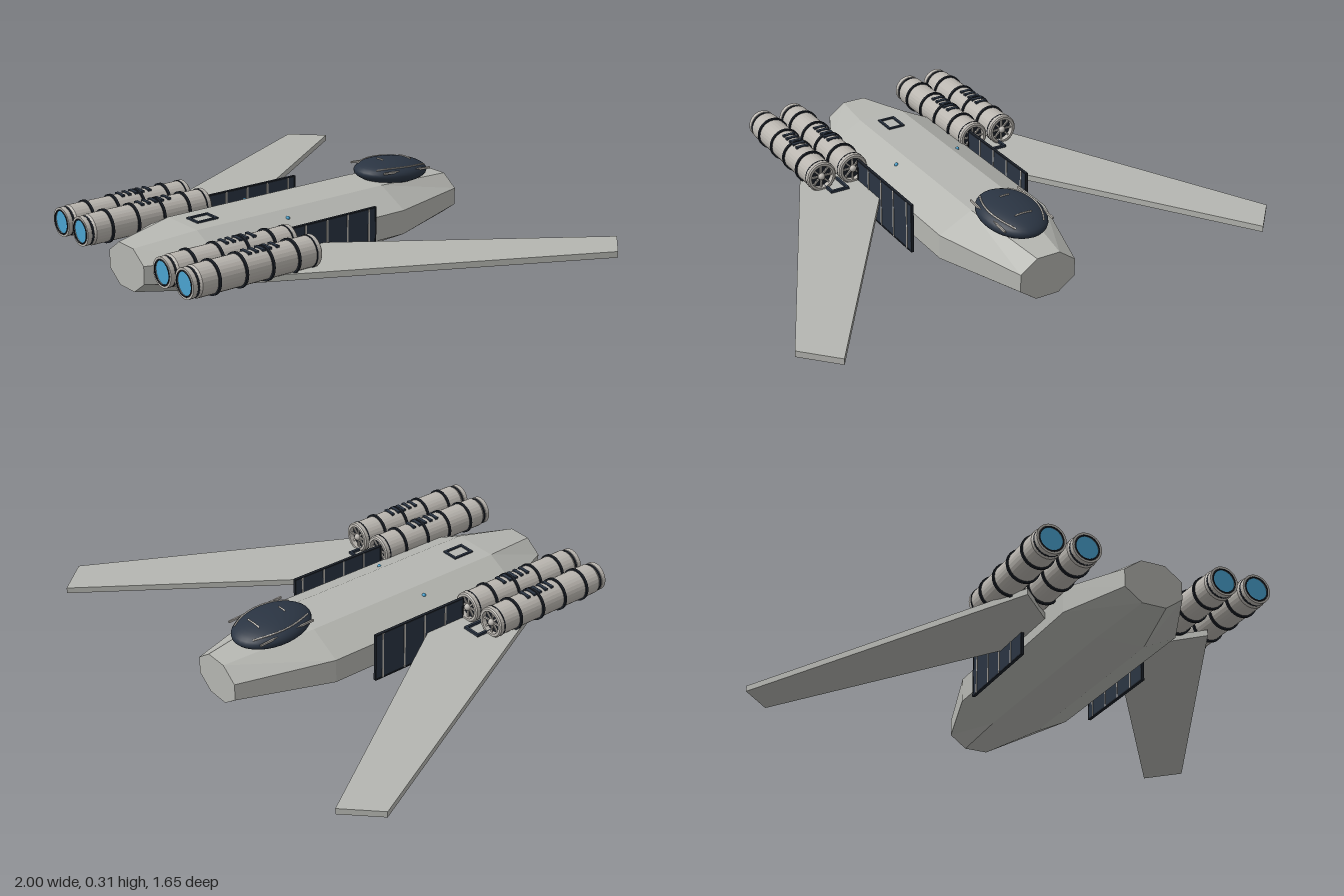
import * as THREE from 'three';

const mat = (name, color) => {
  const m = new THREE.MeshStandardMaterial({ color });
  m.name = name;
  return m;
};

export function createModel() {
  const root = new THREE.Group();
  root.name = 'spacecraft';
  const hullGrey = mat('hull grey', 0xb5b6b1);
  const metal = mat('engine metal', 0xb9b5af);
  const navy = mat('dark navy', 0x2a3442);
  const black = mat('trim black', 0x1c2129);
  const blue = mat('glow blue', 0x4aa3d0);

  const add = (parent, name, geo, material, x = 0, y = 0, z = 0) => {
    const m = new THREE.Mesh(geo, material);
    m.name = name;
    m.position.set(x, y, z);
    parent.add(m);
    return m;
  };
  const box = (w, h, d) => new THREE.BoxGeometry(w, h, d);
  const faceted = (geo) => {
    const g = geo.toNonIndexed();
    g.computeVertexNormals();
    return g;
  };

  // Octagonal hull lofted through four stations: z, half width, centre y, half height
  const stations = [
    [-0.705, 0.115, 0.12, 0.083], [-0.33, 0.23, 0.117, 0.117],
    [0.55, 0.23, 0.117, 0.117], [0.795, 0.115, 0.12, 0.083],
  ];
  const pos = [], idx = [];
  for (const [z, w, cy, h] of stations) {
    for (let j = 0; j < 8; j++) {
      const a = (j + 0.5) * Math.PI / 4, k = 1 / Math.cos(Math.PI / 8);
      pos.push(w * k * Math.cos(a), cy + h * k * Math.sin(a), z);
    }
  }
  for (let i = 0; i < 3; i++) {
    for (let j = 0; j < 8; j++) {
      const a = i * 8 + j, b = i * 8 + (j + 1) % 8;
      idx.push(a, b, b + 8, a, b + 8, a + 8);
    }
  }
  for (let j = 1; j < 7; j++) idx.push(0, j + 1, j, 24, 24 + j, 25 + j);
  const hull = new THREE.BufferGeometry();
  hull.setAttribute('position', new THREE.Float32BufferAttribute(pos, 3));
  hull.setIndex(idx);
  add(root, 'hull', faceted(hull), hullGrey);

  // Canopy with its frame bars
  const canopy = new THREE.Group();
  canopy.name = 'canopy';
  canopy.position.set(0, 0.255, -0.455);
  canopy.rotation.x = -0.07;
  root.add(canopy);
  const R = [0.122, 0.048, 0.163];
  add(canopy, 'canopyGlass', new THREE.SphereGeometry(1, 32, 20).scale(...R), navy);
  const onGlass = (x, z) => new THREE.Vector3(x,
    R[1] * Math.sqrt(Math.max(0, 1 - (x / R[0]) ** 2 - (z / R[2]) ** 2)) + 0.001, z);
  const bar = (name, pts) => add(canopy, name,
    new THREE.TubeGeometry(new THREE.CatmullRomCurve3(pts), 16, 0.0035, 6), metal);
  for (const s of [-1, 1]) {
    const pts = [];
    for (let i = 0; i <= 8; i++) {
      const z = -0.125 + i * 0.03125;
      pts.push(onGlass(s * (0.095 - 0.035 * Math.abs(z / 0.125) ** 2), z));
    }
    bar('canopySideFrame', pts);
    add(canopy, 'canopyRail', box(0.006, 0.008, 0.24), metal, s * 0.102, 0.017, 0);
  }
  bar('canopyCrossBar', [-0.036, 0, 0.036].map((x) => onGlass(x, -0.075)));
  bar('canopyCrossBar', [-0.02, 0, 0.02].map((x) => onGlass(x, 0.055)));

  // Hatch outline on the hull top
  for (const s of [-1, 1]) {
    add(root, 'hatchSide', box(0.01, 0.008, 0.09), navy, s * 0.031, 0.236, 0.46);
    add(root, 'hatchEnd', box(0.072, 0.008, 0.01), navy, 0, 0.236, 0.46 + s * 0.042);
  }

  // One engine: shell, bands, vents, glowing exit and fan
  const buildEngine = () => {
    const g = new THREE.Group();
    g.name = 'engine';
    const profile = [[0.046, 0.295], [0.046, 0.265], [0.056, 0.265], [0.061, 0.27], [0.061, 0.285],
      [0.059, 0.287], [0.06, 0.785], [0.053, 0.795], [0.053, 0.802], [0.057, 0.804],
      [0.057, 0.822], [0.046, 0.822], [0.046, 0.808]].map((p) => new THREE.Vector2(...p));
    add(g, 'engineShell', faceted(new THREE.LatheGeometry(profile, 28).rotateX(Math.PI / 2)), metal);
    const ring = (name, r, h, z) =>
      add(g, name, new THREE.CylinderGeometry(r, r, h, 28, 1).rotateX(Math.PI / 2), black, 0, 0, z);
    for (const z of [0.37, 0.485, 0.6, 0.715]) ring('engineBand', 0.066, 0.01, z);
    ring('frontSeam', 0.0615, 0.005, 0.288);
    ring('exitSeam', 0.056, 0.008, 0.798);
    add(g, 'exitRim', new THREE.TorusGeometry(0.046, 0.003, 6, 28), black, 0, 0, 0.822);
    add(g, 'exitGlow', new THREE.CircleGeometry(0.046, 28), blue, 0, 0, 0.816);
    for (const z of [0.44, 0.472, 0.5, 0.53, 0.56]) {
      add(g, 'engineVent', box(0.05, 0.012, 0.014), navy, 0, 0.056, z);
    }
    add(g, 'fanBack', new THREE.CircleGeometry(0.047, 28).rotateY(Math.PI), black, 0, 0, 0.286);
    for (let i = 0; i < 4; i++) {
      add(g, 'fanBlade', box(0.092, 0.007, 0.006), metal, 0, 0, 0.277).rotation.z = i * Math.PI / 4;
    }
    add(g, 'fanHub', new THREE.SphereGeometry(0.014, 14, 10), metal, 0, 0, 0.272);
    return g;
  };

  for (const s of [-1, 1]) {
    // Swept flat wing
    const outline = [[0.88, -0.83], [1, -0.705], [0.37, 0.55], [0.12, 0.29]];
    const shape = new THREE.Shape(outline.map(([x, z]) => new THREE.Vector2(s * x, z)));
    const wing = new THREE.ExtrudeGeometry(shape, { depth: 0.024, bevelEnabled: false });
    add(root, 'wing', wing.rotateX(Math.PI / 2), hullGrey, 0, 0.132, 0);

    // Paired engines
    for (const x of [0.275, 0.412]) {
      const e = buildEngine();
      e.position.set(s * x, 0.185, 0);
      root.add(e);
    }

    // Upright side panel with ribs
    add(root, 'sidePanel', box(0.009, 0.2, 0.43), navy, s * 0.253, 0.12, 0.05);
    for (const z of [0.175, 0.073, -0.025, -0.13]) {
      add(root, 'panelRib', box(0.013, 0.196, 0.007), metal, s * 0.253, 0.12, z);
    }
    for (const y of [0.022, 0.218]) {
      add(root, 'panelEdge', box(0.012, 0.006, 0.432), black, s * 0.253, y, 0.05);
    }
    for (const z of [-0.163, 0.263]) {
      add(root, 'panelEdge', box(0.012, 0.2, 0.006), black, s * 0.253, 0.12, z);
    }
    add(root, 'panelMount', box(0.03, 0.02, 0.3), hullGrey, s * 0.236, 0.117, 0.05);

    // Bracket on the wing ahead of the engines
    add(root, 'bracketBar', box(0.078, 0.01, 0.01), navy, s * 0.36, 0.137, 0.222);
    for (const x of [0.326, 0.394]) {
      add(root, 'bracketLeg', box(0.01, 0.01, 0.1), navy, s * x, 0.137, 0.267);
    }

    // Marker light on the sloped hull top
    add(root, 'markerLight', new THREE.SphereGeometry(0.008, 12, 8), blue, s * 0.138, 0.213, 0.167);
  }
  return root;
}
